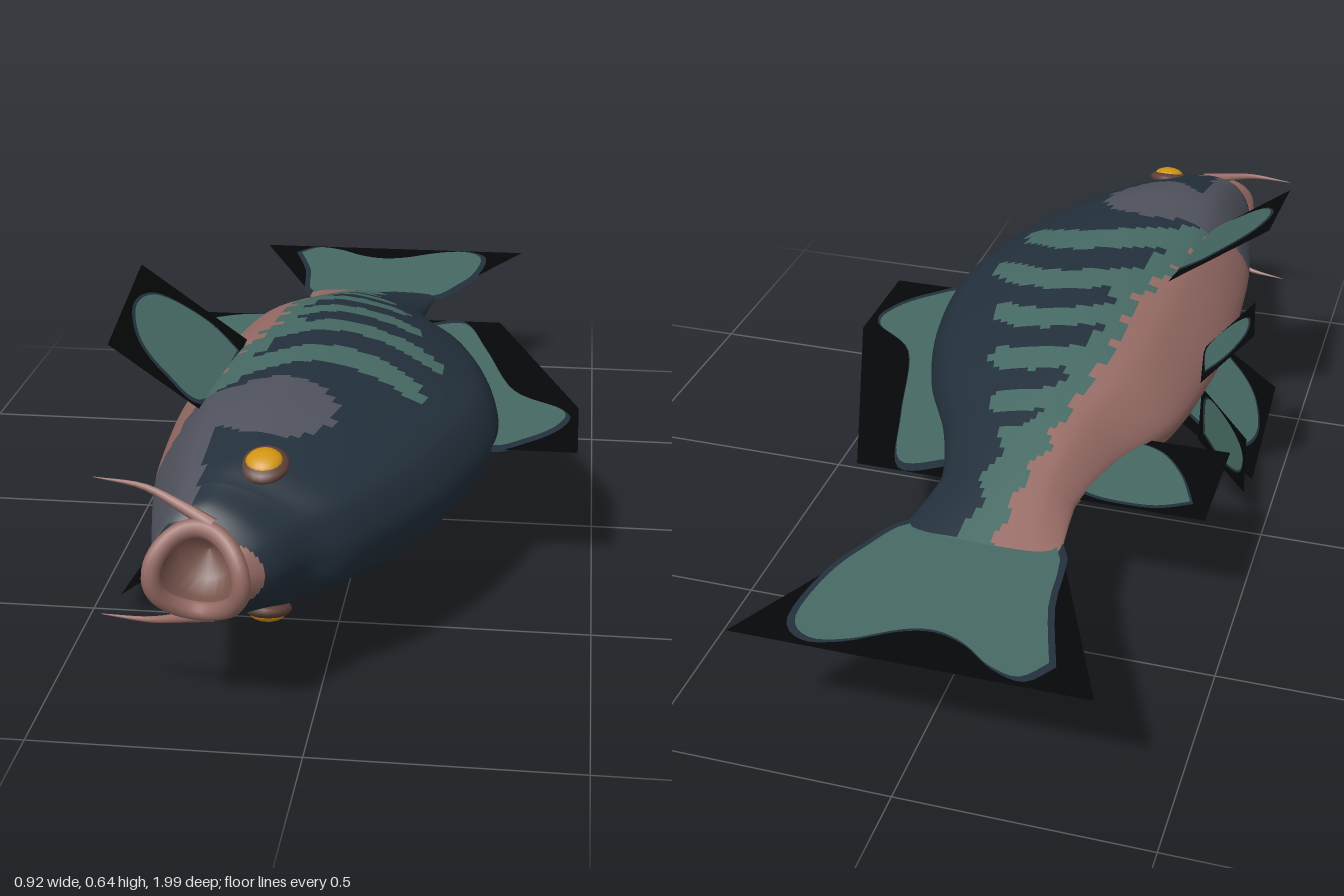
import * as THREE from 'three';

const MID = 0.32; // height of the fish's plane of symmetry (it lies on its side)
const mat = (name, color, side = THREE.FrontSide) =>
  Object.assign(new THREE.MeshStandardMaterial({ color, side }), { name });

// z, belly x, back x, half thickness
const STATIONS = [
  [-0.64, -0.215, 0.11, 0], [-0.5, -0.2, 0.09, 0.045], [-0.42, -0.2, 0.09, 0.07],
  [-0.27, -0.24, 0.14, 0.115], [-0.1, -0.32, 0.225, 0.155], [0.1, -0.35, 0.283, 0.18],
  [0.3, -0.36, 0.295, 0.19], [0.5, -0.35, 0.24, 0.19], [0.63, -0.335, 0.18, 0.185],
  [0.78, -0.305, 0.08, 0.155], [0.85, -0.29, 0.0, 0.13], [0.92, -0.28, -0.05, 0.11],
  [0.97, -0.265, -0.105, 0.08],
];
const HALF_SECTION = [[1, 0], [0.93, 0.47], [0.7, 0.82], [0.43, 1], [0.17, 0.8], [0, 0]];
// x of the edge of the belly colour, by z
const BELLY_EDGE = [[-0.64, -0.08], [-0.45, -0.1], [-0.2, -0.15], [-0.08, -0.18], [0.1, -0.18],
  [0.2, -0.2], [0.3, -0.235], [0.5, -0.27], [0.63, -0.34]];
// flank stripes: z of the crest, x where the stripe ends, half width
const STRIPES = [[-0.27, 0.04, 0.03], [-0.15, 0.08, 0.033], [-0.01, 0.13, 0.036],
  [0.14, 0.19, 0.04], [0.33, 0.16, 0.05]];

function lerpTable(table, z) {
  for (let i = 1; i < table.length; i++) {
    const [z0, a] = table[i - 1], [z1, b] = table[i];
    if (z <= z1) return a + (b - a) * Math.max(0, (z - z0) / (z1 - z0));
  }
  return table[table.length - 1][1];
}

// Body colours: 0 back, 1 flank, 2 belly and lips, 3 gill cover
function bodyColour(x, z) {
  if (z > 0.94) return 2;
  const edge = lerpTable(BELLY_EDGE, z) + 0.01 * Math.sin(z * 70);
  if (z < 0.62 && x < edge) return 2;
  if (Math.hypot((x + 0.11) / 0.12, (z - 0.59) / 0.12) < 1) return 3;
  if (z > 0.5 && z < 0.92 && x < -0.2) return 3;
  if (z < -0.34) return x < -0.02 + 0.012 * Math.sin(z * 50) || z < -0.62 ? 1 : 0;
  if (z < 0.48 && x < edge + 0.055) return 1;
  for (const [crest, end, w] of STRIPES) {
    const dx = x + 0.02;
    const over = Math.max(0, x - end + w);
    if (Math.hypot(z - crest - 2.5 * dx * dx, over) < w) return 1;
  }
  return 0;
}

function bodyGeometry() {
  const rows = 192, cols = 80;
  const loop = [...HALF_SECTION, ...HALF_SECTION.slice(1, -1).reverse().map(([u, s]) => [u, -s])];
  const section = new THREE.CatmullRomCurve3(
    loop.map(([u, s]) => new THREE.Vector3(u, s, 0)), true, 'catmullrom', 0.4);
  const curve = (pick) => new THREE.CatmullRomCurve3(STATIONS.map(pick), false, 'catmullrom', 0.5);
  const outline = curve(([z, a, b]) => new THREE.Vector3(z, a, b));
  const thick = curve(([z, , , h]) => new THREE.Vector3(z, h, 0));
  const ring = Array.from({ length: cols }, (_, j) => section.getPoint(j / cols));
  const pos = [], buckets = [[], [], [], []];
  for (let i = 0; i <= rows; i++) {
    const { x: z, y: belly, z: back } = outline.getPoint(i / rows);
    const h = Math.max(0, thick.getPoint(i / rows).y);
    for (const { x: u, y: s } of ring) {
      // the corners of the mouth are drawn back
      const pull = Math.max(0, z - 0.85) / 0.12 * 0.04 * s * s;
      pos.push(belly + (back - belly) * u, MID + h * s, z - pull);
    }
  }
  for (let i = 0; i < rows; i++) {
    for (let j = 0; j < cols; j++) {
      const a = i * cols + j, b = i * cols + (j + 1) % cols, c = a + cols, d = b + cols;
      const mean = (k) => (pos[a * 3 + k] + pos[b * 3 + k] + pos[c * 3 + k] + pos[d * 3 + k]) / 4;
      buckets[bodyColour(mean(0), mean(2))].push(a, b, c, b, d, c);
    }
  }
  const g = new THREE.BufferGeometry();
  g.setAttribute('position', new THREE.Float32BufferAttribute(pos, 3));
  g.setIndex(buckets.flat());
  let start = 0;
  buckets.forEach((list, m) => { g.addGroup(start, list.length, m); start += list.length; });
  g.computeVertexNormals();
  return g;
}

// Tube narrowing to a point
function taperedTube(points, radius) {
  const curve = new THREE.CatmullRomCurve3(points.map((p) => new THREE.Vector3(...p)));
  const n = 12, sides = 8, g = new THREE.TubeGeometry(curve, n, radius, sides);
  const p = g.attributes.position, v = new THREE.Vector3();
  for (let i = 0; i < p.count; i++) {
    const t = Math.floor(i / (sides + 1)) / n;
    v.fromBufferAttribute(p, i).lerp(curve.getPointAt(t), t * 0.95);
    p.setXYZ(i, v.x, v.y, v.z);
  }
  g.computeVertexNormals();
  return g;
}

export function createModel() {
  const fish = new THREE.Group();
  fish.name = 'fish';
  const navy = mat('navyBack', 0x23303c), teal = mat('tealFlank', 0x476a64);
  const pink = mat('pinkBelly', 0x966b65), grey = mat('greyGill', 0x50525d);
  const mouthBrown = mat('mouthBrown', 0x75524a, THREE.DoubleSide);
  const socketBrown = mat('socketBrown', 0x5e4038), yellow = mat('eyeYellow', 0xcf9410);
  const finBlack = mat('finBlack', 0x050708, THREE.DoubleSide);
  const finNavy = mat('finNavy', 0x23303c, THREE.DoubleSide);
  const finTeal = mat('finTeal', 0x476a64, THREE.DoubleSide);

  const add = (name, geometry, material, parent = fish) => {
    const m = new THREE.Mesh(geometry, material);
    m.name = name;
    parent.add(m);
    return m;
  };

  add('body', bodyGeometry(), [navy, teal, pink, grey]);

  // Mouth: saddle-shaped lips around a hollow
  const lipPoints = Array.from({ length: 24 }, (_, i) => {
    const a = i / 24 * Math.PI * 2, x = 0.08 * Math.cos(a);
    return new THREE.Vector3(-0.185 + x, MID + 0.08 * Math.sin(a), 0.952 + 0.022 * Math.cos(2 * a) + 0.06 * x);
  });
  add('lips', new THREE.TubeGeometry(new THREE.CatmullRomCurve3(lipPoints, true), 48, 0.017, 10, true), pink);
  const hollow = new THREE.LatheGeometry(
    [[0, 0], [0.05, 0.02], [0.068, 0.06], [0.075, 0.1]].map((p) => new THREE.Vector2(...p)), 24);
  add('mouthHollow', hollow.rotateX(Math.PI / 2), mouthBrown).position.set(-0.185, MID, 0.845);

  // Fin: black plate with a rounded teal patch, rimmed navy, on both faces
  const fin = (name, outline, patch, origin, U, V) => {
    const g = new THREE.Group();
    g.name = name;
    fish.add(g);
    const n = new THREE.Vector3().crossVectors(U, V).normalize();
    const plate = (label, shape, material, lift) => {
      const geo = new THREE.ShapeGeometry(shape, 5), p = geo.attributes.position;
      for (let i = 0; i < p.count; i++) {
        const v = origin.clone().addScaledVector(U, p.getX(i)).addScaledVector(V, p.getY(i)).addScaledVector(n, lift);
        p.setXYZ(i, v.x, v.y, v.z);
      }
      geo.computeVertexNormals();
      add(label, geo, material, g);
    };
    const pts = patch.map((p) => new THREE.Vector2(...p));
    const mid = pts.reduce((s, p) => s.add(p), new THREE.Vector2()).divideScalar(pts.length);
    const blob = (k) => {
      const q = pts.map((p) => p.clone().sub(mid).multiplyScalar(k).add(mid));
      return new THREE.Shape(new THREE.SplineCurve([...q, q[0]]).getPoints(60));
    };
    plate('finEdge', new THREE.Shape(outline.map((p) => new THREE.Vector2(...p))), finBlack, 0);
    for (const s of [-1, 1]) {
      plate('finRim', blob(1.06), finNavy, s * 0.002);
      plate('finPatch', blob(1), finTeal, s * 0.004);
    }
  };

  // Single fins in the plane of symmetry
  const O = new THREE.Vector3(0, MID, 0), X = new THREE.Vector3(1, 0, 0), Z = new THREE.Vector3(0, 0, 1);
  fin('tailFin', [[-0.38, -1], [0.3, -1], [0.1, -0.6], [-0.21, -0.6]],
    [[-0.28, -0.93], [-0.24, -0.98], [-0.18, -0.965], [-0.12, -0.92], [-0.06, -0.9], [0, -0.915],
      [0.08, -0.965], [0.15, -0.98], [0.195, -0.93], [0.185, -0.8], [0.15, -0.7], [0.09, -0.6],
      [-0.05, -0.58], [-0.2, -0.6], [-0.235, -0.78]], O, X, Z);
  fin('dorsalFin', [[0.05, -0.43], [0.27, -0.43], [0.46, 0.1], [0.46, 0.34], [0.2, 0.34], [0.15, 0]],
    [[0.1, -0.37], [0.19, -0.4], [0.25, -0.22], [0.32, 0.02], [0.425, 0.12], [0.42, 0.2],
      [0.36, 0.28], [0.28, 0.32], [0.24, 0.1], [0.14, -0.2]], O, X, Z);
  fin('analFin', [[-0.45, -0.43], [-0.12, -0.43], [-0.15, -0.18], [-0.45, -0.18]],
    [[-0.41, -0.38], [-0.33, -0.415], [-0.2, -0.4], [-0.17, -0.3], [-0.23, -0.21], [-0.31, -0.22], [-0.37, -0.29]], O, X, Z);

  // Paired parts, mirrored about the plane of symmetry
  for (const s of [1, -1]) {
    const label = s > 0 ? 'upper' : 'lower';
    const at = (x, y, z) => new THREE.Vector3(x, MID + s * y, z);
    const dir = (x, y, z) => new THREE.Vector3(x, s * y, z);
    fin(label + 'PectoralFin', [[0, 0], [1, 0], [0.87, 1], [0, 1]],
      [[0.03, 0.2], [0.35, 0.12], [0.75, 0.2], [0.86, 0.45], [0.7, 0.75], [0.4, 0.9], [0.08, 0.9]],
      at(-0.225, 0.165, 0.21), dir(-0.215, 0.155, 0), dir(-0.02, -0.035, 0.33));
    fin(label + 'PelvicFin', [[0, 0], [1, 0], [1, 1], [0, 1]],
      [[0.1, 0.2], [0.5, 0.1], [0.85, 0.25], [0.88, 0.65], [0.55, 0.88], [0.1, 0.85]],
      at(-0.355, 0.07, -0.04), dir(-0.105, 0.125, 0.01), dir(0.03, -0.02, 0.18));

    const barbel = [[-0.16, 0.085, 0.93], [-0.22, 0.108, 0.905], [-0.29, 0.13, 0.88], [-0.385, 0.135, 0.86]];
    add(label + 'Barbel', taperedTube(barbel.map(([x, y, z]) => [x, MID + s * y, z]), 0.014), pink);

    // Eye in its socket
    const eye = new THREE.Group();
    eye.name = label + 'Eye';
    eye.position.copy(at(-0.093, 0.142, 0.79));
    eye.rotation.x = s * 0.3;
    fish.add(eye);
    add('eyeSocket', new THREE.SphereGeometry(0.047, 20, 12), socketBrown, eye).scale.set(0.95, 0.38, 1.05);
    const ball = add('eyeball', new THREE.SphereGeometry(0.034, 20, 12), yellow, eye);
    ball.scale.y = 0.5;
    ball.position.y = s * 0.008;
  }
  return fish;
}
